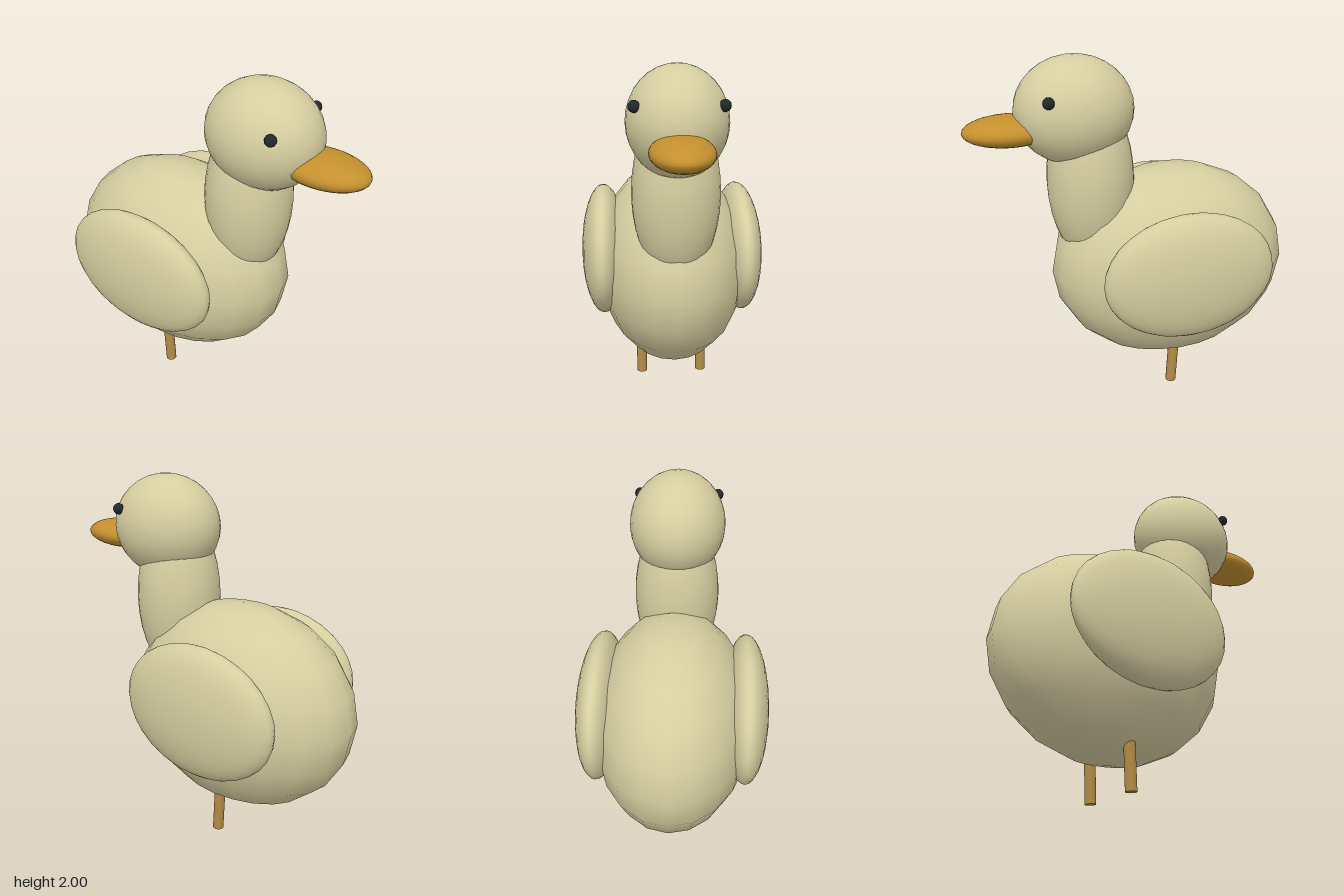
import * as THREE from 'three';

function material(name, color) {
  const m = new THREE.MeshStandardMaterial({ color });
  m.name = name;
  return m;
}

export function createModel() {
  const plumage = material('plumage', 0xd6cea0);
  const orange = material('billOrange', 0xc4902e);
  const tan = material('legTan', 0xb48c46);
  const black = material('eyeBlack', 0x20292b);

  const group = new THREE.Group();
  group.name = 'duck';

  // Smooth ellipsoid from centre and radii
  function ellipsoid(name, mat, center, radii, segments) {
    const geo = new THREE.SphereGeometry(1, segments, segments / 2);
    geo.scale(...radii);
    const mesh = new THREE.Mesh(geo, mat);
    mesh.name = name;
    mesh.position.set(...center);
    group.add(mesh);
  }

  ellipsoid('body', plumage, [0, 0.76, -0.215], [0.45, 0.592, 0.697], 20);
  ellipsoid('neck', plumage, [0, 1.31, 0.245], [0.24, 0.49, 0.241], 32);
  ellipsoid('head', plumage, [0, 1.71, 0.323], [0.266, 0.29, 0.322], 32);
  ellipsoid('bill', orange, [0, 1.625, 0.665], [0.16, 0.08, 0.25], 32);

  // Mirrored parts
  for (const [side, s] of [['left', 1], ['right', -1]]) {
    ellipsoid(side + 'Wing', plumage, [s * 0.406, 0.845, -0.215], [0.131, 0.375, 0.484], 32);
    ellipsoid(side + 'Eye', black, [s * 0.22, 1.815, 0.488], [0.031, 0.031, 0.031], 16);

    // Plain peg leg, leaning slightly back and running up into the body
    const leg = new THREE.Mesh(new THREE.CylinderGeometry(0.031, 0.031, 0.4, 16), tan);
    leg.name = side + 'Leg';
    leg.position.set(s * 0.187, 0.202, -0.199);
    leg.rotation.x = -0.05;
    group.add(leg);
  }

  return group;
}
